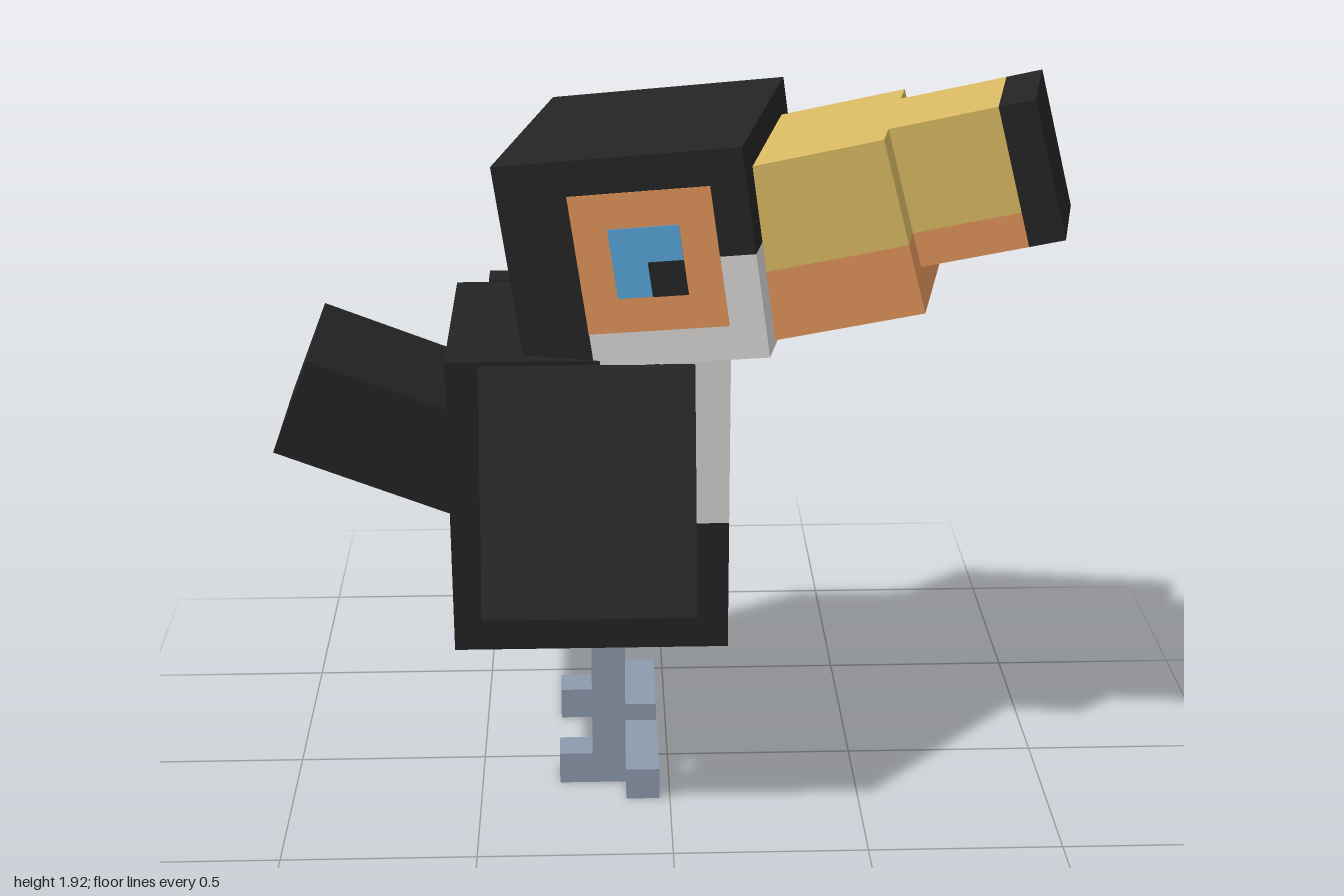
import * as THREE from 'three';

const P = 0.0882; // size of one block unit

const mat = (name, hex) => {
  const m = new THREE.MeshStandardMaterial({ color: hex });
  m.name = name;
  return m;
};

export function createModel() {
  const black = mat('black plumage', 0x242424);
  const white = mat('white plumage', 0xd6d5d3);
  const yellow = mat('yellow beak', 0xd8b862);
  const orange = mat('orange', 0xdd9158);
  const blue = mat('blue eye', 0x55a2d6);
  const slate = mat('slate legs', 0x8d9aad);
  const red = mat('red vent', 0x7d352e);

  // Box between two corners, scaled by s
  const box = (parent, name, material, [x0, x1], [y0, y1], [z0, z1], s = 1) => {
    const g = new THREE.BoxGeometry((x1 - x0) * s, (y1 - y0) * s, (z1 - z0) * s);
    const m = new THREE.Mesh(g, material);
    m.name = name;
    m.position.set((x0 + x1) / 2 * s, (y0 + y1) / 2 * s, (z0 + z1) / 2 * s);
    parent.add(m);
    return m;
  };
  const group = (parent, name, x, y, z) => {
    const g = new THREE.Group();
    g.name = name;
    g.position.set(x, y, z);
    parent.add(g);
    return g;
  };

  const bird = new THREE.Group();
  bird.name = 'bird';

  // Body: dark belly and back, white breast
  const bz = [-0.39, 0.227];
  const body = group(bird, 'body', 0, 0, 0);
  box(body, 'belly', black, [-0.555, 0.15], [0.45, 0.8], bz);
  box(body, 'back', black, [-0.555, -0.026], [0.8, 1.242], bz);
  box(body, 'breast', white, [-0.026, 0.15], [0.8, 1.242], bz);
  box(body, 'throatTuft', white, [0.13, 0.162], [1.195, 1.28], [-0.06, 0.02]);
  box(body, 'ventBack', red, [-0.558, -0.554], [0.45, 0.626], [-0.302, 0.139]);
  box(body, 'ventUnder', red, [-0.555, -0.379], [0.447, 0.451], [-0.302, 0.139]);

  // Tail, raised to the rear
  const tail = group(bird, 'tail', -0.706, 0.995, -0.085);
  tail.rotation.z = -0.38;
  box(tail, 'tailFeathers', black, [-3, 3], [-1.5, 1.5], [-2.5, 2.5], P);

  // Wings: one folded, one swung outwards
  [[0.935, -0.433, 0], [0.942, 0.3405, -0.32]].forEach(([y, z, tilt], i) => {
    const wing = group(bird, i ? 'openWing' : 'foldedWing', -0.205, y, z);
    wing.rotation.x = tilt;
    box(wing, 'wingFeathers', black, [-3, 3], [-3.52, 3.52], [-0.49, 0.49], P);
  });

  // Legs with T-shaped feet
  for (const z of [0.098, -0.257]) {
    const leg = group(bird, 'leg', -0.16, 0, z);
    box(leg, 'shin', slate, [-0.5, 0.5], [1, 5.15], [-0.5, 0.5], P);
    box(leg, 'heel', slate, [-1.5, 0.5], [0, 1], [-0.5, 0.5], P);
    box(leg, 'toes', slate, [0.5, 1.5], [0, 1], [-1.5, 1.5], P);
  }

  // Head, turned and pitched up
  const head = group(bird, 'head', -0.0245, 1.513, -0.046);
  head.rotation.set(0, -0.2356, 0.1407, 'ZYX');
  const hz = [-3.5, 3.5];
  box(head, 'crown', black, [-3.5, 3.5], [0, 3], hz, P);
  box(head, 'cheekBack', black, [-3.5, 2.5], [-2, 0], hz, P);
  box(head, 'nape', black, [-3.5, -1.5], [-3, -2], hz, P);
  box(head, 'face', white, [2.5, 3.5], [-2, 0], hz, P);
  box(head, 'chin', white, [-1.5, 3.5], [-3, -2], hz, P);
  box(head, 'neck', white, [-2, 1.4], [-3.6, -3], [-2, 2], P);

  // Eyes: thin stacked plates on both sides
  for (const side of [1, -1]) {
    const plate = (name, m, x, y, t) =>
      box(head, name, m, x, y, side > 0 ? [3.48, 3.5 + t] : [-3.5 - t, -3.48], P);
    plate('eyePatch', orange, [-1.5, 2.5], [-2, 2], 0.03);
    plate('iris', blue, [-0.5, 1.5], [-1, 1], 0.06);
    plate('pupil', black, [0.5, 1.5], [-1, 0], 0.09);
  }

  // Beak: wide base, narrower end, dark tip; origin at the top edge of the step
  const beak = group(head, 'beak', 0.628, 0.229, 0);
  beak.rotation.z = 0.122;
  box(beak, 'upperBase', yellow, [-4.6, 0], [-3, 0], [-2.5, 2.5], P);
  box(beak, 'lowerBase', orange, [-4.6, 0], [-5, -3], [-2.5, 2.5], P);
  box(beak, 'upperEnd', yellow, [0, 3], [-3, 0], [-1.5, 1.5], P);
  box(beak, 'lowerEnd', orange, [0, 3], [-4, -3], [-1.5, 1.5], P);
  box(beak, 'beakTip', black, [3, 4], [-4, 0], [-1.5, 1.5], P);

  return bird;
}
